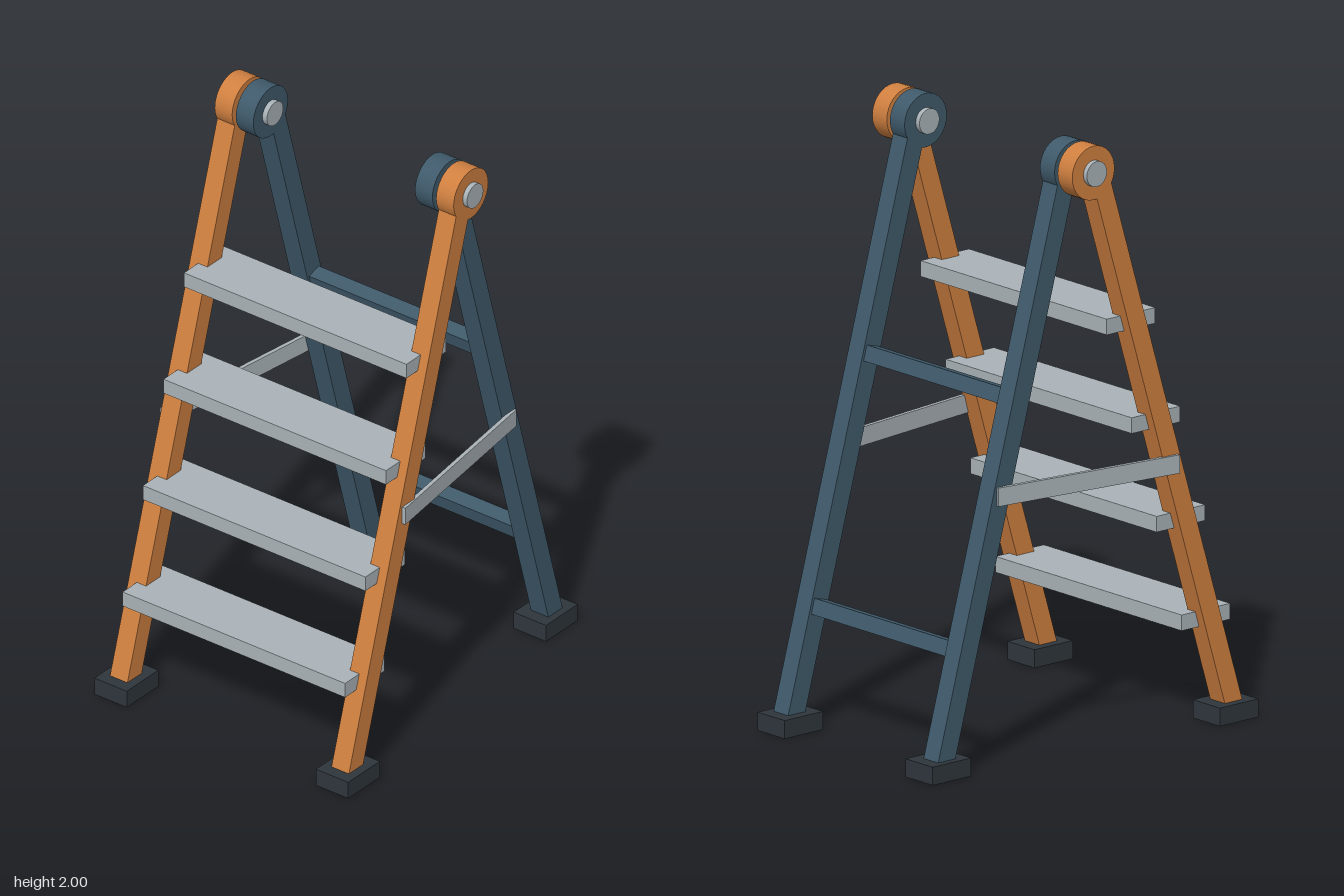
import * as THREE from 'three';

const mat = (color) => new THREE.MeshStandardMaterial({ color });

export function createModel() {
  const root = new THREE.Group();
  const orange = mat(0xd08040), blue = mat(0x3f5a6b), metal = mat(0xaab3b8), rubber = mat(0x2f363c);

  const add = (name, geometry, material, x, y, z) => {
    const mesh = new THREE.Mesh(geometry, material);
    mesh.name = name;
    mesh.position.set(x, y, z);
    root.add(mesh);
    return mesh;
  };
  const box = (name, w, h, d, material, x, y, z) =>
    add(name, new THREE.BoxGeometry(w, h, d), material, x, y, z);
  // Cylinder lying along x
  const disc = (name, r, w, material, x, y, z) =>
    add(name, new THREE.CylinderGeometry(r, r, w, 32).rotateZ(Math.PI / 2), material, x, y, z);

  const hingeY = 1.911, hingeZ = -0.021;
  // Centre lines of the two leaning frames
  const frontZ = (y) => 0.587 - 0.305 * y;
  const rearZ = (y) => -0.58 + 0.278 * y;

  // Square rail following a frame's centre line
  const rail = (name, material, x, lineZ) => {
    const y0 = 0.045, y1 = hingeY;
    const dy = y1 - y0, dz = lineZ(y1) - lineZ(y0);
    const mesh = box(name, 0.07, Math.hypot(dy, dz), 0.07, material,
      x, (y0 + y1) / 2, (lineZ(y0) + lineZ(y1)) / 2);
    mesh.rotation.x = Math.atan2(dz, dy);
  };

  for (const [side, s] of [['left', 1], ['right', -1]]) {
    // Rails with hinge knuckles and feet
    rail(side + 'FrontRail', orange, s * 0.445, frontZ);
    rail(side + 'RearRail', blue, s * 0.36, rearZ);
    disc(side + 'FrontKnuckle', 0.089, 0.07, orange, s * 0.445, hingeY, hingeZ);
    disc(side + 'RearKnuckle', 0.089, 0.07, blue, s * 0.36, hingeY, hingeZ);
    disc(side + 'HingePin', 0.042, 0.19, metal, s * 0.402, hingeY, hingeZ);
    box(side + 'FrontFoot', 0.13, 0.06, 0.162, rubber, s * 0.445, 0.03, 0.566);
    box(side + 'RearFoot', 0.13, 0.06, 0.162, rubber, s * 0.355, 0.03, -0.564);

    // Flat spreader bar, splayed from the rear rail out to the front rail
    const dx = 0.09 * s, dz = 0.684;
    const brace = box(side + 'Spreader', 0.014, 0.061, Math.hypot(dx, dz), metal,
      s * 0.441, 0.889, -0.01);
    brace.rotation.y = Math.atan2(dx, dz);
  }

  // Level treads on the front frame
  for (let i = 0; i < 4; i++) {
    const y = 0.347 + i * 0.3445;
    box('step' + (i + 1), 0.894, 0.052, 0.204, metal, 0, y, frontZ(y));
  }

  // Cross bars of the rear frame, tilted with its rails
  [0.394, 1.186].forEach((y, i) => {
    const bar = box('rearCrossBar' + (i + 1), 0.67, 0.052, 0.052, blue, 0, y, rearZ(y));
    bar.rotation.x = Math.atan(0.278);
  });

  return root;
}
